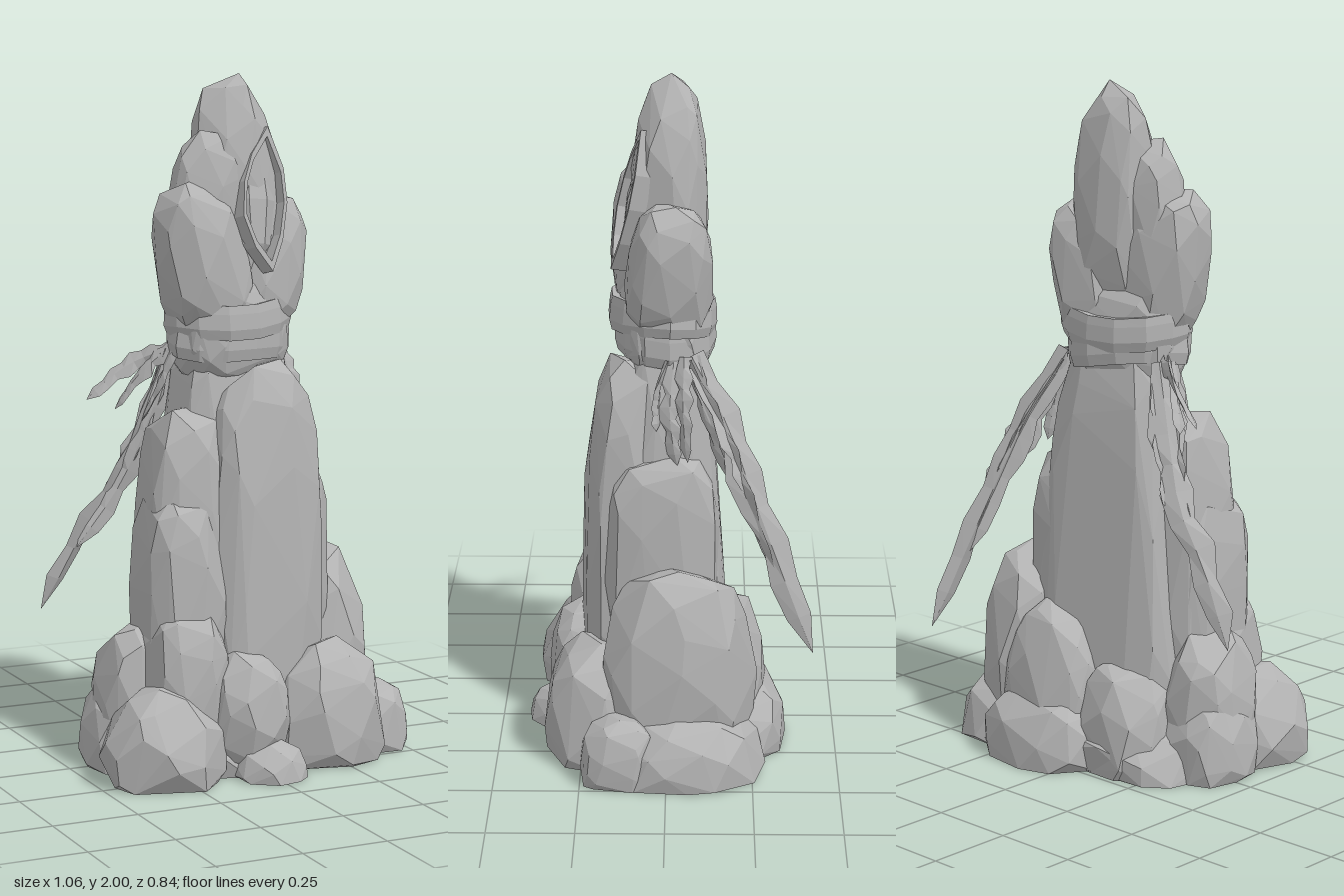
import * as THREE from 'three';
import { ConvexGeometry } from 'three/addons/geometries/ConvexGeometry.js';

const stone = new THREE.MeshStandardMaterial({ color: 0xb3b3b3 });
stone.name = 'grey stone';
const cloth = new THREE.MeshStandardMaterial({ color: 0xb3b3b3, side: THREE.DoubleSide });
cloth.name = 'grey cloth';

function seeded(seed) {
  let s = seed * 7919 + 17;
  return () => (s = (s * 16807) % 2147483647) / 2147483647;
}

function facet(geo) {
  const g = geo.index ? geo.toNonIndexed() : geo;
  g.computeVertexNormals();
  return g;
}

export function createModel() {
  const model = new THREE.Group();
  model.name = 'rockSpire';
  let seed = 1;

  const add = (name, geo, mat = stone) => {
    const mesh = new THREE.Mesh(geo, mat);
    mesh.name = name;
    model.add(mesh);
    return mesh;
  };

  // Chiselled boulder filling the given bounds; top = width factor at the top,
  // leanX / leanZ shift the top sideways, a lower boxy squares it off
  function rock(name, [x0, x1, y0, y1, z0, z1], { boxy = 0.85, top = 1, leanX = 0, leanZ = 0, turn = 0, n = 50 } = {}) {
    const rnd = seeded(seed++);
    const pts = [];
    for (let i = 0; i < n; i++) {
      const y = 1 - (2 * (i + 0.5)) / n;
      const a = i * 2.39996 + (rnd() - 0.5) * 0.7;
      const r = Math.sqrt(1 - y * y);
      const p = new THREE.Vector3(r * Math.cos(a), y + (rnd() - 0.5) * 0.12, r * Math.sin(a));
      for (const k of ['x', 'y', 'z']) p[k] = Math.sign(p[k]) * Math.abs(p[k]) ** boxy;
      pts.push(p);
    }
    const box = new THREE.Box3().setFromPoints(pts);
    const size = box.getSize(new THREE.Vector3());
    const up = new THREE.Vector3(0, 1, 0);
    for (const p of pts) {
      p.sub(box.min).divide(size);
      const t = p.y, f = 1 + (top - 1) * t;
      p.set((p.x - 0.5) * f * (x1 - x0), 0, (p.z - 0.5) * f * (z1 - z0)).applyAxisAngle(up, turn);
      p.x += (x0 + x1) / 2 + leanX * t;
      p.z += (z0 + z1) / 2 + leanZ * t;
      p.y = Math.max(0, y0 + t * (y1 - y0));
    }
    return add(name, facet(new ConvexGeometry(pts)));
  }

  // Base boulders
  rock('plinthRock', [-0.38, 0.45, -0.14, 0.17, -0.26, 0.31], { boxy: 0.75 });
  rock('frontRightBoulder', [-0.48, -0.12, -0.14, 0.28, 0.05, 0.4], { boxy: 1 });
  rock('frontMiddleBoulder', [-0.17, 0.08, 0.0, 0.36, 0.08, 0.36]);
  rock('frontLeftBoulder', [0.05, 0.405, -0.16, 0.36, 0.04, 0.36], { boxy: 0.85 });
  rock('frontPebble', [-0.11, 0.1, -0.1, 0.11, 0.22, 0.42], { boxy: 1 });
  rock('frontLeftPebble', [0.33, 0.515, -0.1, 0.2, 0.02, 0.25]);
  rock('leftBaseBoulder', [0.18, 0.53, -0.16, 0.21, -0.29, 0.2], { boxy: 0.9 });
  rock('leftTallBoulder', [0.12, 0.45, -0.08, 0.61, -0.28, 0.205], { top: 0.88 });
  rock('backBaseBoulder', [-0.08, 0.33, -0.14, 0.22, -0.355, -0.05]);
  rock('backTallBoulder', [-0.07, 0.31, -0.05, 0.48, -0.31, 0], { top: 0.75 });
  rock('backRightBoulder', [-0.28, 0.04, -0.15, 0.34, -0.25, 0.06], { top: 0.9 });
  rock('rightBaseBoulder', [-0.46, -0.2, -0.12, 0.25, -0.12, 0.15]);
  rock('rightBoulder', [-0.43, -0.18, -0.05, 0.43, -0.1, 0.19]);
  rock('rightFrontTallBoulder', [-0.34, -0.09, 0.02, 0.5, 0.03, 0.3], { boxy: 0.78 });

  // Spire: core column and the slabs leaning on it
  rock('coreColumn', [-0.28, 0.3, -0.05, 1.3, -0.19, 0.2], { boxy: 0.5, top: 0.6, turn: 0.1, n: 70 });
  rock('frontSlab', [-0.165, 0.235, 0.06, 1.18, 0.0, 0.265], { boxy: 0.65, top: 0.87, leanX: 0.025, leanZ: -0.025, turn: 0.12, n: 60 });
  rock('rightSlab', [-0.31, -0.04, 0.15, 1.05, -0.06, 0.21], { boxy: 0.62, top: 0.94, leanX: 0.01 });
  rock('rightLowSlab', [-0.32, -0.08, 0.15, 0.82, -0.04, 0.25], { boxy: 0.6 });
  rock('leftSlab', [0.04, 0.28, 0.2, 0.92, -0.16, 0.185], { boxy: 0.52, top: 0.97 });

  // Crown: peak with the lobes flaring out around it
  rock('neck', [-0.18, 0.18, 1.1, 1.44, -0.11, 0.14], { boxy: 0.65, turn: 0.2 });
  rock('rightLobe', [-0.2, 0.08, 1.23, 1.7, -0.075, 0.165], { boxy: 0.75, top: 0.9, leanX: -0.085, leanZ: 0.01, turn: 0.2 });
  rock('leftLobe', [-0.05, 0.2, 1.22, 1.65, -0.125, 0.135], { boxy: 0.75, top: 0.85, leanX: 0.075, leanZ: -0.015, turn: 0.2 });
  rock('rightShoulder', [-0.185, 0.06, 1.35, 1.84, -0.06, 0.11], { boxy: 0.78 });
  rock('peak', [-0.095, 0.175, 1.26, 2, -0.115, 0.12], { boxy: 0.85, top: 0.9, leanX: -0.02, leanZ: -0.015, n: 54 });

  // Pointed niche on the front of the crown: raised rim with a stone inside
  const almond = (Type, k) => new Type([[0.01, -0.21], [0.055, -0.12], [0.083, -0.01], [0.08, 0.09], [0.035, 0.21],
    [-0.03, 0.13], [-0.065, 0.05], [-0.078, -0.05], [-0.045, -0.14]].map(([x, y]) => new THREE.Vector2(x * k, y * k)));
  const rim = almond(THREE.Shape, 1);
  rim.holes.push(almond(THREE.Path, 0.86));
  const niche = new THREE.Group();
  niche.name = 'niche';
  niche.position.set(0.055, 1.635, 0.074);
  niche.rotation.set(-0.2, 0.2, 0);
  const rimMesh = new THREE.Mesh(facet(new THREE.ExtrudeGeometry(rim, { depth: 0.05, bevelEnabled: false })), stone);
  rimMesh.name = 'nicheRim';
  const gem = new THREE.Mesh(facet(new THREE.SphereGeometry(1, 7, 4)), stone);
  gem.name = 'nicheStone';
  gem.scale.set(0.068, 0.18, 0.045);
  gem.rotation.z = -0.06;
  niche.add(rimMesh, gem);
  model.add(niche);

  // Cloth wraps: tilted bands with an uneven outline
  function wrap(name, y, h, rx, rz, tiltZ, tiltX) {
    const profile = [[0.8, -h], [0.95, -h], [1.0, -h * 0.4], [0.98, h * 0.5], [0.95, h], [0.7, h * 0.9]]
      .map(([r, v]) => new THREE.Vector2(r, v));
    const geo = new THREE.LatheGeometry(profile, 13);
    const p = geo.attributes.position;
    for (let i = 0; i < p.count; i++) {
      const a = Math.atan2(p.getZ(i), p.getX(i));
      const r = 1 + 0.03 * Math.sin(3 * a + y * 40);
      p.setXYZ(i, p.getX(i) * r * rx, p.getY(i) + 0.01 * Math.sin(2 * a + y * 30), p.getZ(i) * r * rz);
    }
    const mesh = add(name, facet(geo), cloth);
    mesh.position.set(0, y, 0.012);
    mesh.rotation.set(tiltX, 0.2, tiltZ);
  }
  wrap('lowerWrap', 1.24, 0.056, 0.192, 0.147, -0.08, 0.04);
  wrap('upperWrap', 1.3, 0.05, 0.204, 0.158, 0.05, -0.04);

  // Ragged strip: thin diamond section along a path, with notched edges
  function strip(name, path, width, twist = 0) {
    const rnd = seeded(seed++);
    const curve = new THREE.CatmullRomCurve3(path.map((q) => new THREE.Vector3(...q)));
    const n = 9, pos = [], idx = [];
    for (let i = 0; i <= n; i++) {
      const t = i / n, c = curve.getPoint(t), dir = curve.getTangent(t);
      const out = new THREE.Vector3(c.x, 0, c.z).normalize();
      const side = new THREE.Vector3().crossVectors(dir, out).normalize().applyAxisAngle(dir, twist + t * 0.6);
      const flat = new THREE.Vector3().crossVectors(side, dir).normalize();
      const w = width * (i === n ? 0.02 : 0.5 + 0.5 * Math.sin(Math.PI * (0.12 + 0.8 * t)));
      const l = w * (i % 2 ? 0.35 : 0.55) * (0.8 + 0.4 * rnd());
      const r = w * (i % 3 ? 0.55 : 0.32) * (0.8 + 0.4 * rnd());
      for (const [s, f] of [[-l, 0], [0, 0.14 * w], [r, 0], [0, -0.14 * w]])
        pos.push(...c.clone().addScaledVector(side, s).addScaledVector(flat, f).toArray());
      if (i < n) for (let k = 0; k < 4; k++) {
        const a = i * 4 + k, b = i * 4 + (k + 1) % 4;
        idx.push(a, b, a + 4, b, b + 4, a + 4);
      }
    }
    const geo = new THREE.BufferGeometry();
    geo.setAttribute('position', new THREE.Float32BufferAttribute(pos, 3));
    geo.setIndex(idx);
    add(name, facet(geo), cloth);
  }

  // Long streamers
  const leftPath = [[0.17, 1.21, -0.07], [0.24, 1.03, -0.17], [0.29, 0.85, -0.24], [0.345, 0.62, -0.33], [0.39, 0.39, -0.42]];
  const rightPath = [[-0.17, 1.21, -0.04], [-0.24, 0.99, -0.07], [-0.31, 0.82, -0.1], [-0.43, 0.65, -0.12], [-0.53, 0.45, -0.14]];
  for (const [name, path] of [['leftStreamer', leftPath], ['rightStreamer', rightPath]]) {
    strip(name, path, 0.1, 0.3);
    strip(name + 'Fold', path.slice(0, 4).map(([x, y, z]) => [x, y - 0.02, z + 0.015]), 0.08, 1.2);
    strip(name + 'Fray', path.slice(0, 3).map(([x, y, z]) => [x + 0.01, y - 0.03, z - 0.005]), 0.07, -0.5);
  }

  // Short frayed tassels hanging under the wraps
  const tassels = [
    [[0.17, 1.21, -0.02], [0.21, 1.05, -0.01], [0.23, 0.9, -0.03]],
    [[0.18, 1.21, -0.05], [0.23, 1.08, -0.05], [0.26, 0.92, -0.06]],
    [[0.17, 1.21, -0.08], [0.22, 1.06, -0.11], [0.26, 0.88, -0.17]],
    [[0.18, 1.2, 0.0], [0.2, 1.1, 0.03], [0.22, 1.0, 0.03]],
    [[-0.16, 1.22, -0.02], [-0.27, 1.16, -0.08], [-0.39, 1.06, -0.12]],
    [[-0.17, 1.22, 0.0], [-0.24, 1.14, -0.05], [-0.31, 1.03, -0.1]],
    [[-0.17, 1.22, 0.02], [-0.21, 1.11, 0.0], [-0.25, 1.0, -0.04]],
  ];
  tassels.forEach((path, i) => strip('tassel' + (i + 1), path, 0.055, i * 0.5));

  return model;
}
